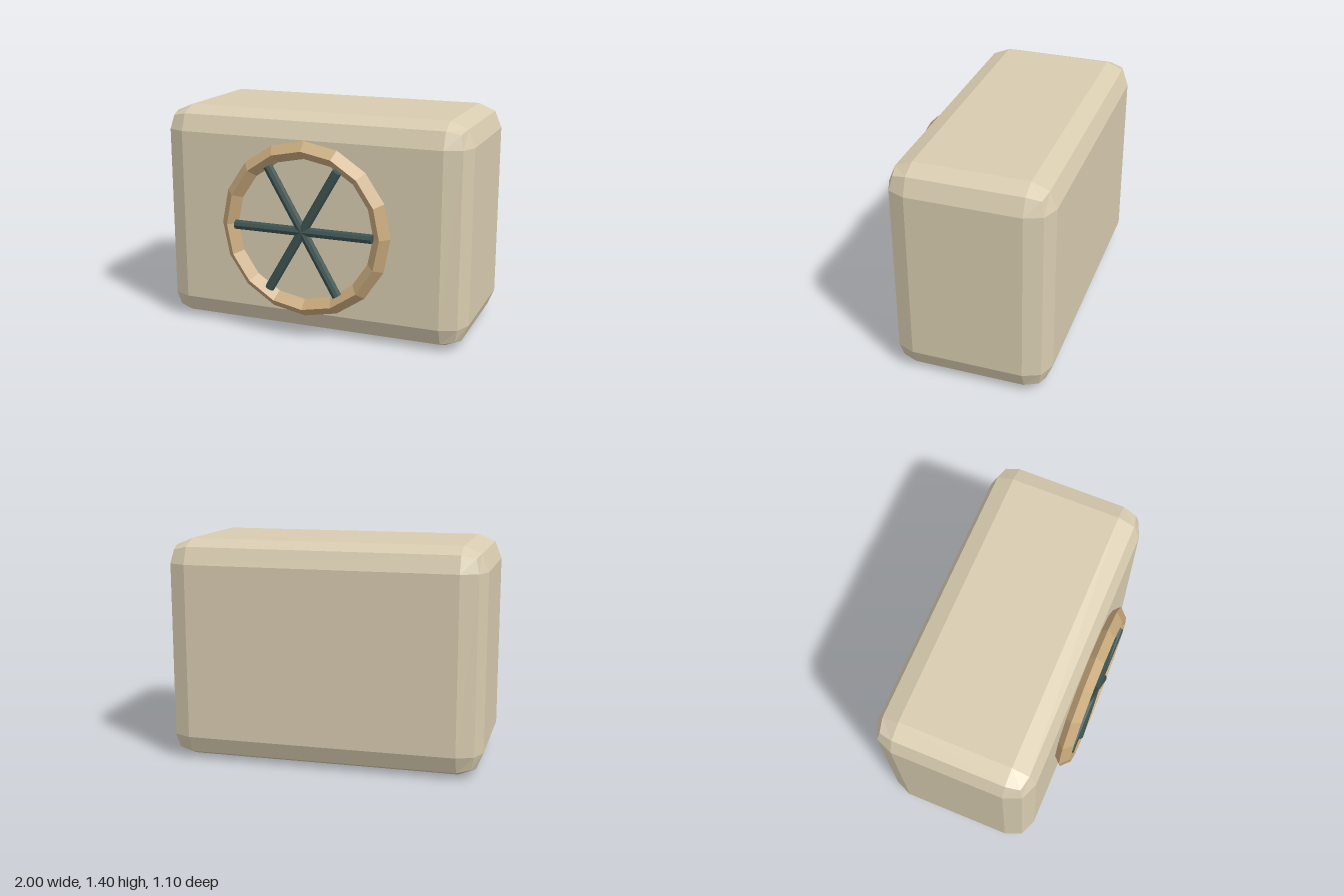
import * as THREE from 'three';
import { RoundedBoxGeometry } from 'three/addons/geometries/RoundedBoxGeometry.js';

function material(name, color) {
  const m = new THREE.MeshStandardMaterial({ color, flatShading: true });
  m.name = name;
  return m;
}

export function createModel() {
  const model = new THREE.Group();
  model.name = 'fanUnit';
  const casingBeige = material('casingBeige', 0xd8ccb0);
  const ringTan = material('ringTan', 0xc8a97c);
  const barTeal = material('barTeal', 0x3d5452);

  const add = (name, geometry, mat, parent = model) => {
    const mesh = new THREE.Mesh(geometry, mat);
    mesh.name = name;
    parent.add(mesh);
    return mesh;
  };

  // Casing with bevelled edges
  add('casing', new RoundedBoxGeometry(2, 1.4, 1, 1, 0.15), casingBeige).position.set(0, 0.7, -0.05);

  // Round vent on the front
  const vent = new THREE.Group();
  vent.name = 'vent';
  vent.position.set(0, 0.7, 0.49);
  model.add(vent);
  add('ventRing', new THREE.TorusGeometry(0.5, 0.055, 4, 16), ringTan, vent);

  // Three crossing bars
  const bar = new THREE.CylinderGeometry(0.03, 0.03, 0.9, 8);
  for (let i = 0; i < 3; i++) {
    const mesh = add('ventBar', bar, barTeal, vent);
    mesh.position.z = 0.03;
    mesh.rotation.z = Math.PI / 2 + (i * Math.PI) / 3;
  }
  return model;
}
